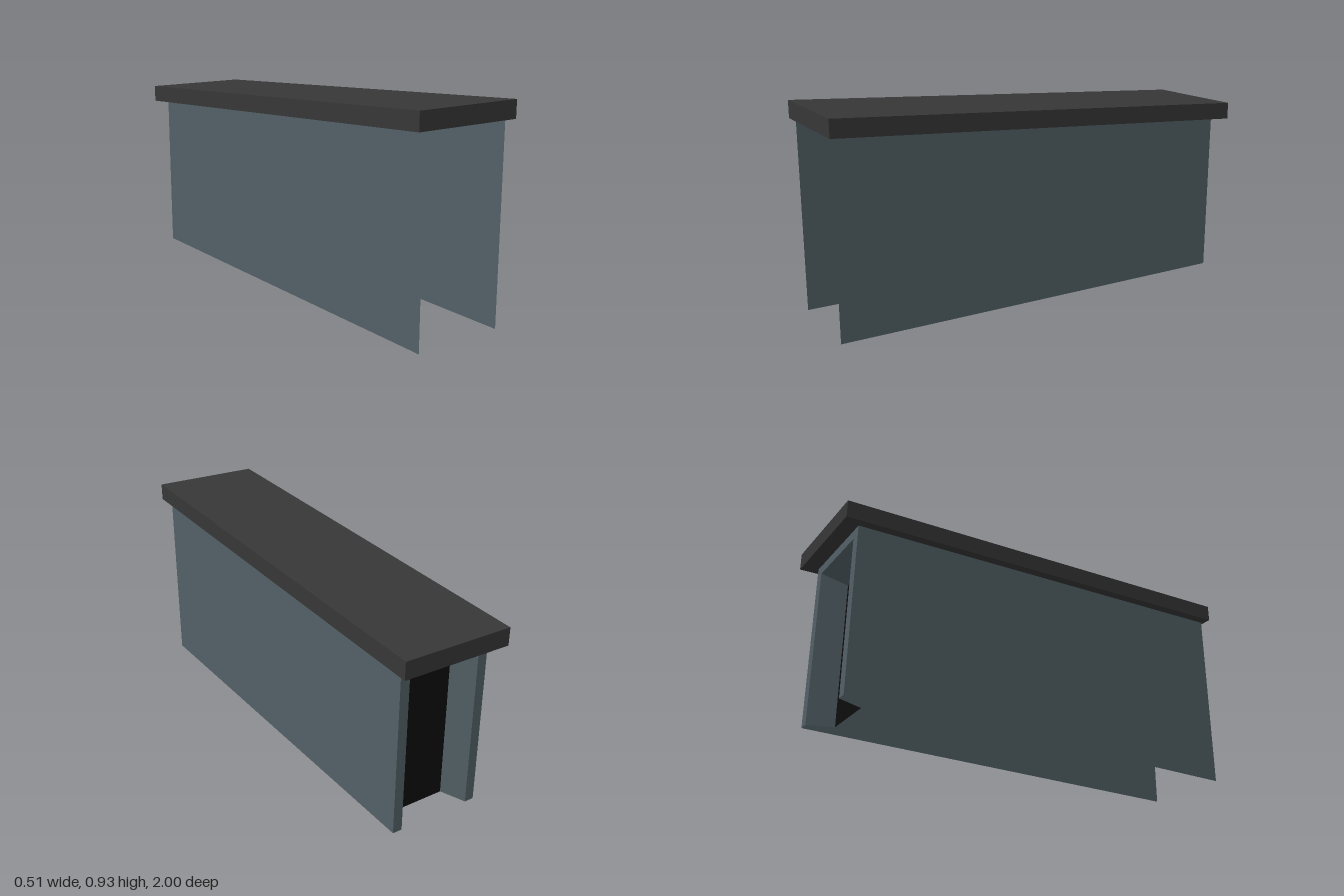
import * as THREE from 'three';

const wallMat = new THREE.MeshStandardMaterial({ color: 0x526066, side: THREE.DoubleSide });
wallMat.name = 'slate wall';
const roofMat = new THREE.MeshStandardMaterial({ color: 0x373737 });
roofMat.name = 'charcoal roof';
const doorMat = new THREE.MeshStandardMaterial({ color: 0x0d0d0d, side: THREE.DoubleSide });
doorMat.name = 'black opening';

const FRONT = 0.985, BACK = -0.93, HALF = 0.21;
// Height of the roof underside at depth z
const eave = (z) => 0.797 + 0.055 * z;

// Flat four-cornered panel, corners counter-clockwise from outside
function panel(name, material, a, b, c, d) {
  const geo = new THREE.BufferGeometry();
  geo.setAttribute('position', new THREE.Float32BufferAttribute([a, b, c, a, c, d].flat(), 3));
  geo.computeVertexNormals();
  const mesh = new THREE.Mesh(geo, material);
  mesh.name = name;
  return mesh;
}

export function createModel() {
  const group = new THREE.Group();
  group.name = 'passage';

  // Sloping roof slab, slightly narrower at the back
  const roofGeo = new THREE.BoxGeometry(0.508, 0.077, 2);
  const p = roofGeo.attributes.position;
  for (let i = 0; i < p.count; i++) {
    const z = p.getZ(i);
    p.setY(i, p.getY(i) + 0.0385 + eave(z));
    if (z < 0) p.setX(i, Math.sign(p.getX(i)) * 0.249);
  }
  roofGeo.computeVertexNormals();
  const roof = new THREE.Mesh(roofGeo, roofMat);
  roof.name = 'roof';
  group.add(roof);

  // Thin side walls, open at the front
  group.add(panel('leftWall', wallMat,
    [HALF, 0, FRONT], [HALF, 0, BACK], [HALF, eave(BACK), BACK], [HALF, eave(FRONT), FRONT]));
  group.add(panel('rightWall', wallMat,
    [-HALF, 0, BACK], [-HALF, 0, FRONT], [-HALF, eave(FRONT), FRONT], [-HALF, eave(BACK), BACK]));

  // Back wall around the doorway
  const ox = 0.167, oy = 0.704, ix = 0.125, iy = 0.659, deep = BACK + 0.11;
  const top = eave(BACK);
  const outline = new THREE.Shape([
    [-HALF, 0], [-ox, 0], [-ox, oy], [ox, oy], [ox, 0], [HALF, 0], [HALF, top], [-HALF, top],
  ].map(([x, y]) => new THREE.Vector2(x, y)));
  const backGeo = new THREE.ShapeGeometry(outline).rotateY(Math.PI).translate(0, 0, BACK);
  const backWall = new THREE.Mesh(backGeo, wallMat);
  backWall.name = 'backWall';
  group.add(backWall);

  // Splayed reveals leading in to the dark opening
  group.add(panel('leftReveal', wallMat,
    [ox, 0, BACK], [ix, 0, deep], [ix, iy, deep], [ox, oy, BACK]));
  group.add(panel('rightReveal', wallMat,
    [-ix, 0, deep], [-ox, 0, BACK], [-ox, oy, BACK], [-ix, iy, deep]));
  group.add(panel('topReveal', wallMat,
    [ox, oy, BACK], [ix, iy, deep], [-ix, iy, deep], [-ox, oy, BACK]));
  group.add(panel('doorOpening', doorMat,
    [ix, 0, deep], [-ix, 0, deep], [-ix, iy, deep], [ix, iy, deep]));

  return group;
}
